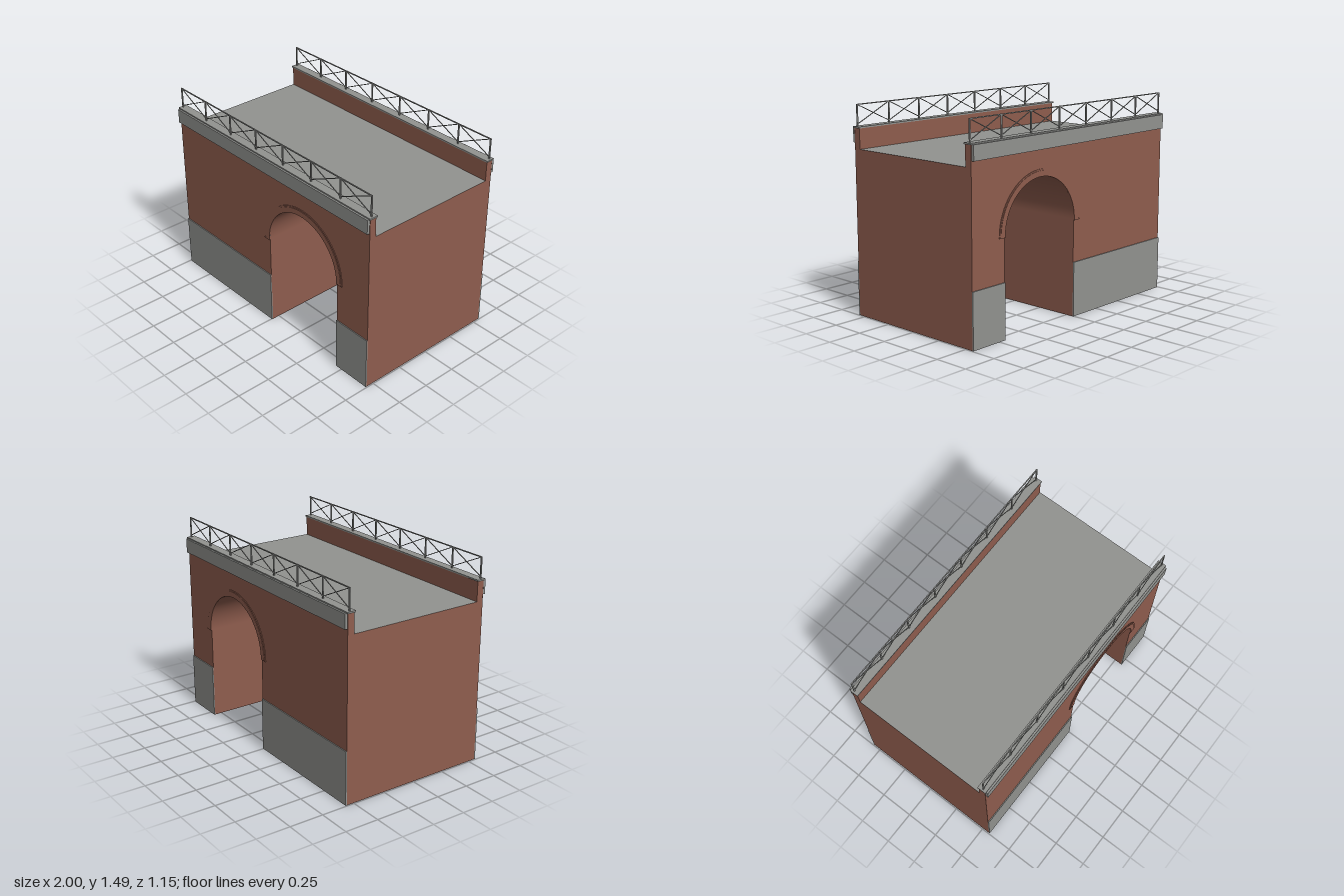
import * as THREE from 'three';

const brick = new THREE.MeshStandardMaterial({ color: 0x8f5d4e, side: THREE.DoubleSide });
brick.name = 'brick';
const stone = new THREE.MeshStandardMaterial({ color: 0x929390, side: THREE.DoubleSide });
stone.name = 'grey stone';

const END = 0.993, FACE = 0.556, DECK = 1.18, TOP = 1.324, PLINTH = 0.39;
const ARCH = { x: 0.35, y: 0.695, r: 0.345 };

function add(parent, name, geometry, material, x = 0, y = 0, z = 0) {
  const mesh = new THREE.Mesh(geometry, material);
  mesh.name = name;
  mesh.position.set(x, y, z);
  parent.add(mesh);
  return mesh;
}

// box given by its extents on each axis
function block(parent, name, material, x0, x1, y0, y1, z0, z1) {
  return add(parent, name, new THREE.BoxGeometry(x1 - x0, y1 - y0, Math.abs(z1 - z0)), material,
    (x0 + x1) / 2, (y0 + y1) / 2, (z0 + z1) / 2);
}

// thin rod between two points of the railing plane
function rod(parent, name, x0, y0, x1, y1, z, t) {
  const geometry = new THREE.BoxGeometry(Math.hypot(x1 - x0, y1 - y0), t, t);
  const mesh = add(parent, name, geometry, stone, (x0 + x1) / 2, (y0 + y1) / 2, z);
  mesh.rotation.z = Math.atan2(y1 - y0, x1 - x0);
}

// half ring standing proud of the wall around the opening
function halfRing(inner, outer) {
  const s = new THREE.Shape();
  s.absarc(0, 0, outer, 0, Math.PI, false);
  s.absarc(0, 0, inner, Math.PI, 0, true);
  return s;
}

// wall face above the plinth, notched by the arch
function wallShape() {
  const { x, y, r } = ARCH;
  const s = new THREE.Shape();
  s.moveTo(-END, PLINTH);
  s.lineTo(x - r, PLINTH);
  s.lineTo(x - r, y);
  s.absarc(x, y, r, Math.PI, 0, true);
  s.lineTo(x + r, PLINTH);
  s.lineTo(END, PLINTH);
  s.lineTo(END, TOP);
  s.lineTo(-END, TOP);
  s.closePath();
  return s;
}

// inner lining of the passage, swept from front to back
function vaultGeometry() {
  const { x, y, r } = ARCH, n = 48, pts = [[x + r, 0]];
  for (let i = 0; i <= n; i++) {
    const a = Math.PI * i / n;
    pts.push([x + r * Math.cos(a), y + r * Math.sin(a)]);
  }
  pts.push([x - r, 0]);
  const pos = [], index = [];
  pts.forEach(([px, py], i) => {
    pos.push(px, py, FACE, px, py, -FACE);
    if (i) {
      const a = 2 * i - 2;
      index.push(a, a + 1, a + 2, a + 1, a + 3, a + 2);
    }
  });
  const g = new THREE.BufferGeometry();
  g.setAttribute('position', new THREE.Float32BufferAttribute(pos, 3));
  g.setIndex(index);
  g.computeVertexNormals();
  // make the normals face the inside of the passage
  const p = g.attributes.position, nrm = g.attributes.normal;
  if (nrm.getX(0) * (x - p.getX(0)) < 0) {
    for (let i = 0; i < index.length; i += 3) [index[i], index[i + 1]] = [index[i + 1], index[i]];
    g.setIndex(index);
    g.computeVertexNormals();
  }
  return g;
}

function railing(z) {
  const g = new THREE.Group();
  g.name = 'railing';
  const bays = 7, x0 = -0.983, step = 1.966 / bays, low = 1.333, high = 1.482;
  for (let i = 0; i <= bays; i++) {
    const x = x0 + i * step;
    block(g, 'railPost', stone, x - 0.005, x + 0.005, low, high + 0.003, z - 0.004, z + 0.004);
    if (i === bays) break;
    rod(g, 'railBrace', x, low + 0.015, x + step, high, z, 0.005);
    rod(g, 'railBrace', x, high, x + step, low + 0.015, z, 0.005);
  }
  rod(g, 'topRail', x0 - 0.005, high, x0 + 1.971, high, z, 0.007);
  return g;
}

// everything belonging to one long face; s = 1 front, -1 back
function longSide(s) {
  const g = new THREE.Group();
  g.name = s > 0 ? 'frontSide' : 'backSide';
  const { x, y, r } = ARCH;
  const face = new THREE.ShapeGeometry(wallShape(), 48);
  if (s < 0) {
    // reverse the facing of the back wall
    const ix = face.index;
    for (let i = 0; i < ix.count; i += 3) {
      const a = ix.getX(i);
      ix.setX(i, ix.getX(i + 1));
      ix.setX(i + 1, a);
    }
    face.computeVertexNormals();
  }
  add(g, 'brickWall', face, brick, 0, 0, s * FACE);

  // plinth panels either side of the opening
  for (const [a, b] of [[-END, x - r], [x + r, END]])
    block(g, 'plinth', stone, a, b, 0, PLINTH, s * (FACE - 0.002), s * 0.563);

  // arch moulding: broad ring, lower rim, and small feet
  for (const [inner, outer, depth] of [[r, r + 0.04, 0.007], [r + 0.04, r + 0.05, 0.004]]) {
    const ring = new THREE.ExtrudeGeometry(halfRing(inner, outer),
      { depth, bevelEnabled: false, curveSegments: 48 });
    add(g, 'archMoulding', ring, brick, x, y, s > 0 ? FACE : -FACE - depth);
  }
  for (const m of [-1, 1]) {
    const a = x + m * r, b = x + m * (r + 0.053);
    block(g, 'archFoot', brick, Math.min(a, b), Math.max(a, b), y - 0.007, y + 0.002, s * FACE, s * 0.563);
  }

  // parapet with band, coping and railing
  block(g, 'parapet', brick, -END, END, DECK - 0.01, TOP, s * 0.505, s * (FACE - 0.001));
  block(g, 'parapetBand', stone, -0.99, 0.99, 1.222, 1.325, s * FACE, s * 0.576);
  block(g, 'coping', stone, -1, 1, 1.323, 1.334, s * 0.499, s * 0.563);
  g.add(railing(s * 0.536));
  return g;
}

export function createModel() {
  const model = new THREE.Group();
  model.name = 'archBridge';
  model.add(longSide(1), longSide(-1));

  // end walls, open underneath
  for (const m of [-1, 1])
    add(model, 'endWall', new THREE.PlaneGeometry(2 * FACE, DECK), brick, m * END, DECK / 2, 0)
      .rotation.y = m * Math.PI / 2;

  add(model, 'archVault', vaultGeometry(), brick);
  add(model, 'deck', new THREE.PlaneGeometry(2 * END, 1.01), stone, 0, DECK, 0).rotation.x = -Math.PI / 2;
  return model;
}
